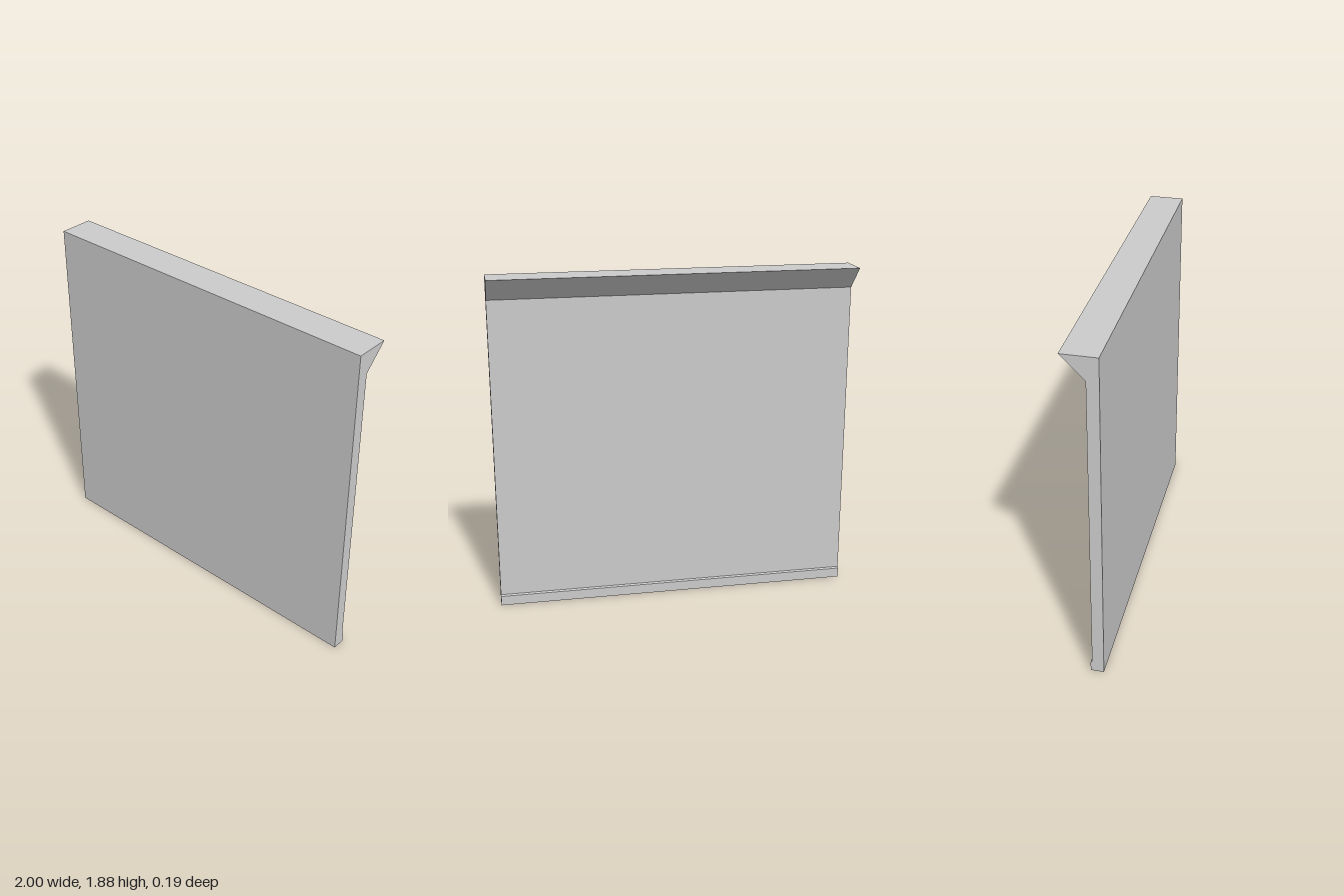
import * as THREE from 'three';

const WIDTH = 2;

// Side profile as [z, y]: flat front, chamfered skirting and sloped cornice at the back
const PROFILE = [
  [0.094, 0],
  [0.094, 1.875],
  [-0.094, 1.875], // cornice lip
  [0.031, 1.75], // cornice meets wall
  [0.031, 0.0625], // top of skirting
  [0.023, 0.055],
  [0.023, 0],
];

export function createModel() {
  const group = new THREE.Group();
  group.name = 'wallSection';

  const shape = new THREE.Shape(PROFILE.map(([z, y]) => new THREE.Vector2(z, y)));
  const geometry = new THREE.ExtrudeGeometry(shape, { depth: WIDTH, bevelEnabled: false });
  // Turn the profile so it runs along x, centred
  geometry.translate(0, 0, -WIDTH / 2).rotateY(-Math.PI / 2);

  const material = new THREE.MeshStandardMaterial({ color: 0xcccccc, flatShading: true });
  const wall = new THREE.Mesh(geometry, material);
  wall.name = 'wallWithCorniceAndSkirting';
  group.add(wall);
  return group;
}
